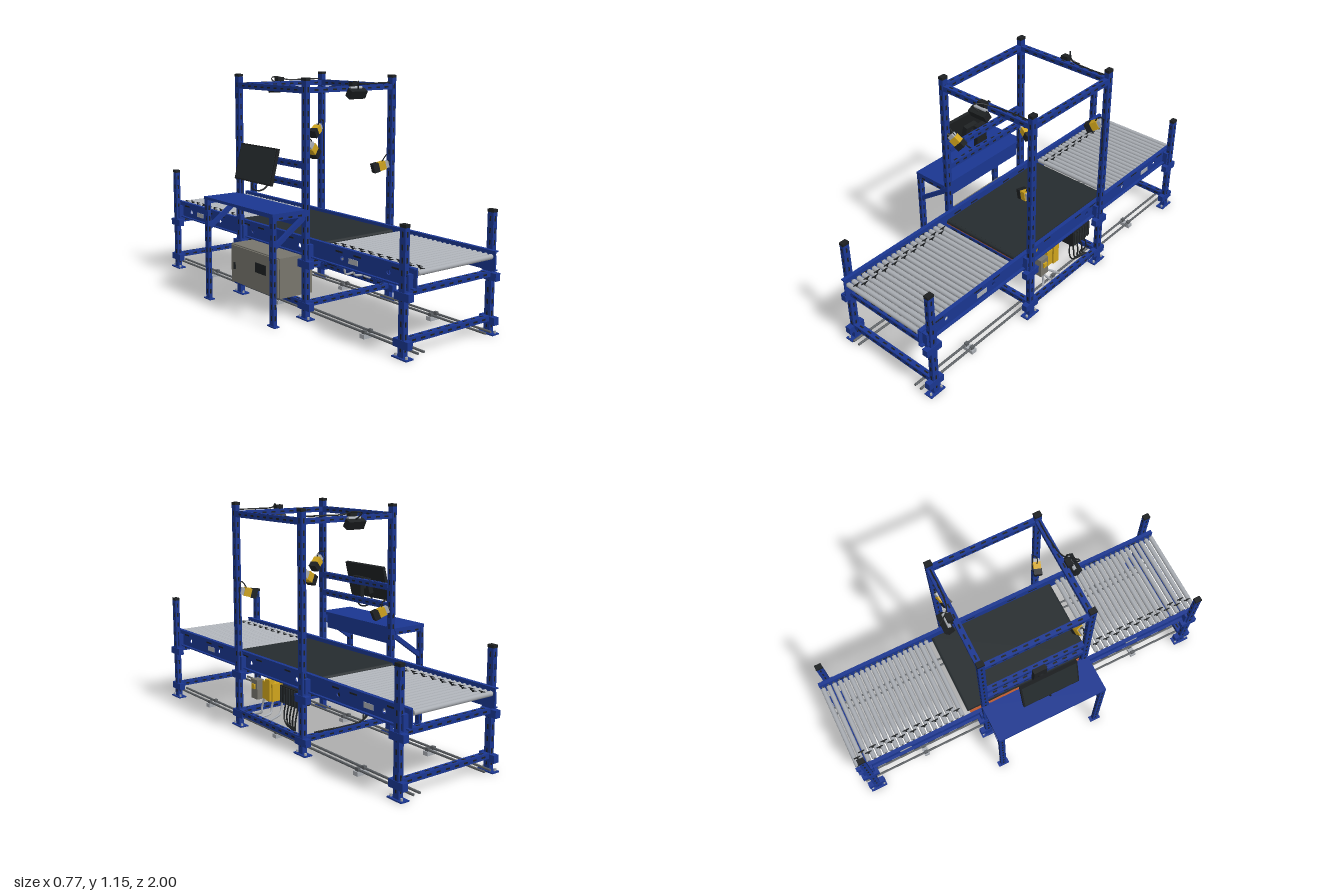
import * as THREE from 'three';

const mat = (color, side = THREE.FrontSide) => new THREE.MeshStandardMaterial({ color, side });
const BLUE = mat(0x1a3690), BLACK = mat(0x1d2022), BELT = mat(0x252b2e), STEEL = mat(0xa9adb3),
  YELLOW = mat(0xd0a41c), CABINET = mat(0x77756c), ORANGE = mat(0xb8562a), ROD = mat(0x5c6064);

const XL = -0.175, XR = 0.367, XC = (XL + XR) / 2, SPAN = XR - XL; // post lines
const ZT = 0.28, ZE = 0.95;                                        // tower and end post lines

function add(parent, name, geo, material, x = 0, y = 0, z = 0) {
  const m = new THREE.Mesh(geo, material);
  m.name = name;
  m.position.set(x, y, z);
  parent.add(m);
  return m;
}
const box = (p, name, material, w, h, d, x, y, z) =>
  add(p, name, new THREE.BoxGeometry(w, h, d), material, x, y, z);

function rod(p, name, material, a, b, r, sides = 10) {
  const va = new THREE.Vector3(...a), vb = new THREE.Vector3(...b), d = vb.clone().sub(va);
  const m = add(p, name, new THREE.CylinderGeometry(r, r, d.length(), sides), material);
  m.position.copy(va).add(vb).multiplyScalar(0.5);
  m.quaternion.setFromUnitVectors(new THREE.Vector3(0, 1, 0), d.normalize());
  return m;
}
function cable(p, name, points, r = 0.004, material = BLACK) {
  const c = new THREE.CatmullRomCurve3(points.map(q => new THREE.Vector3(...q)));
  return add(p, name, new THREE.TubeGeometry(c, 24, r, 6), material);
}

// Slotted square beam along axis 'x', 'y' or 'z', centred at (x, y, z)
function beam(p, name, axis, length, x, y, z, w = 0.026, t = 0.03) {
  const g = new THREE.Group();
  g.name = name;
  g.position.set(x, y, z);
  if (axis === 'x') g.rotation.z = Math.PI / 2;
  if (axis === 'z') g.rotation.x = Math.PI / 2;
  p.add(g);
  box(g, 'tube', BLUE, w, length, t, 0, 0, 0);
  const n = Math.floor(length / 0.055);
  const geo = [new THREE.BoxGeometry(0.008, 0.024, t + 0.001), new THREE.BoxGeometry(w + 0.001, 0.024, 0.008)];
  for (const s of geo) {
    const slots = new THREE.InstancedMesh(s, BLACK, n);
    slots.name = 'slots';
    for (let i = 0; i < n; i++)
      slots.setMatrixAt(i, new THREE.Matrix4().makeTranslation(0, (i - (n - 1) / 2) * 0.055, 0));
    g.add(slots);
  }
  return g;
}

function post(p, name, height, x, z) {
  beam(p, name, 'y', height - 0.01, x, height / 2, z, 0.025, 0.034);
  box(p, 'postCap', BLACK, 0.027, 0.014, 0.036, x, height - 0.007, z);
  const out = x > XC ? 1 : -1;
  box(p, 'footPlate', BLUE, 0.045, 0.006, 0.09, x, 0.003, z);
  for (const dz of [-0.033, 0.033])
    add(p, 'footBolt', new THREE.CylinderGeometry(0.006, 0.006, 0.012, 6), STEEL, x + out * 0.008, 0.011, z + dz);
}

// Conveyor side channel with holes in the web
function sideRail(p, x, out) {
  const s = new THREE.Shape([[-1, 0.305], [1, 0.305], [1, 0.398], [-1, 0.398]].map(q => new THREE.Vector2(...q)));
  for (const z of [-0.83, -0.52, -0.2, 0.2, 0.52, 0.83]) {
    const h = new THREE.Path();
    h.absarc(z, 0.345, 0.012, 0, Math.PI * 2, true);
    s.holes.push(h);
  }
  const geo = new THREE.ExtrudeGeometry(s, { depth: 0.006, bevelEnabled: false, curveSegments: 8 });
  geo.rotateY(-Math.PI / 2);
  add(p, 'sideRailWeb', geo, BLUE, x + 0.003);
  for (const y of [0.308, 0.395]) box(p, 'sideRailFlange', BLUE, 0.02, 0.006, 2, x + out * 0.007, y, 0);
  for (const z of [-0.73, 0.6]) box(p, 'railPlate', STEEL, 0.003, 0.025, 0.065, x + out * 0.004, 0.342, z);
  for (let i = -7; i <= 7; i++) if (i % 3)
    box(p, 'railSlot', BLACK, 0.008, 0.008, 0.05, x, 0.372, i * 0.125);
}

// Barcode sensor on a post arm, aimed along the given direction
function sensor(p, x, y, z, dir, from) {
  const g = new THREE.Group();
  g.name = 'scanner';
  g.position.set(x, y, z);
  g.lookAt(x + dir[0], y + dir[1], z + dir[2]);
  p.add(g);
  box(g, 'scannerBody', YELLOW, 0.038, 0.042, 0.04, 0, 0, 0);
  box(g, 'scannerHead', BLACK, 0.042, 0.046, 0.03, 0, 0, 0.032);
  box(g, 'scannerBack', STEEL, 0.03, 0.034, 0.02, 0, 0, -0.028);
  rod(p, 'scannerArm', BLACK, from, [x, y, z], 0.009);
  const s = Math.sign(x - from[0]);
  cable(p, 'scannerCable', [[x, y + 0.015, z], [x - s * 0.02, y + 0.05, z + 0.01], [from[0] + s * 0.01, y + 0.055, z],
    [from[0], y - 0.02, z], [from[0], y - 0.15, z]], 0.003);
}

export function createModel() {
  const root = new THREE.Group();
  root.name = 'scanTunnelConveyor';
  const part = name => {
    const g = new THREE.Group();
    g.name = name;
    root.add(g);
    return g;
  };

  // Posts, cross beams and gussets
  const frame = part('frame');
  for (const z of [-ZE, -ZT, ZT, ZE]) {
    for (const x of [XL, XR]) {
      post(frame, Math.abs(z) > 0.5 ? 'endPost' : 'towerPost', Math.abs(z) > 0.5 ? 0.58 : 1.155, x, z);
      for (const y of [0.272, 0.065]) box(frame, 'gusset', BLUE, 0.03, 0.036, 0.09, x, y, z);
      box(frame, 'railBracket', BLUE, 0.03, 0.07, 0.06, x + (x < XC ? 0.012 : -0.012), 0.335, z);
    }
    for (const y of [0.285, 0.075]) beam(frame, 'crossBeam', 'x', SPAN - 0.025, XC, y, z);
  }
  for (const z of [-ZT, ZT]) beam(frame, 'topBeam', 'x', SPAN - 0.025, XC, 1.097, z);
  for (const x of [XL, XR]) {
    beam(frame, 'topSideBeam', 'z', 2 * ZT - 0.034, x, 1.097, 0);
    beam(frame, 'lowSideBeam', 'z', 2 * ZT - 0.034, x, 0.075, 0);
  }
  for (const y of [0.65, 0.745]) beam(frame, 'monitorBeam', 'z', 2 * ZT - 0.034, XL, y, 0);

  // Conveyor: rails, rollers, drive bands, belt bed
  const conveyor = part('conveyor');
  sideRail(conveyor, -0.148, -1);
  sideRail(conveyor, 0.34, 1);
  const rollerGeo = new THREE.CylinderGeometry(0.0125, 0.0125, 0.46, 14).rotateZ(Math.PI / 2);
  const axleGeo = new THREE.CylinderGeometry(0.005, 0.005, 0.488, 6).rotateZ(Math.PI / 2);
  for (const s of [-1, 1]) for (let i = 0; i < 20; i++) {
    const z = s * (0.395 + i * 0.0311);
    add(conveyor, 'roller', rollerGeo, STEEL, 0.096, 0.373, z);
    add(conveyor, 'axle', axleGeo, ROD, 0.096, 0.373, z);
    if (i < 19) box(conveyor, 'driveBand', BLACK, 0.006, 0.027, 0.036, i % 2 ? -0.075 : -0.095, 0.373, z + s * 0.0155);
  }
  box(conveyor, 'belt', BELT, 0.445, 0.024, 0.69, 0.101, 0.374, -0.005);
  for (const z of [-0.35, 0.34])
    add(conveyor, 'beltEnd', new THREE.CylinderGeometry(0.012, 0.012, 0.445, 14).rotateZ(Math.PI / 2), BELT, 0.101, 0.374, z);
  box(conveyor, 'beltPan', ORANGE, 0.46, 0.008, 0.69, 0.096, 0.356, -0.005);

  // Floor guide rods with clamps
  const guides = part('floorGuides');
  for (const x of [-0.115, 0.308]) {
    for (const dx of [-0.018, 0.018]) rod(guides, 'guideRod', ROD, [x + dx, 0.026, -1], [x + dx, 0.026, 1], 0.006, 8);
    for (const z of [-0.64, 0, 0.66]) {
      box(guides, 'clampBase', STEEL, 0.066, 0.02, 0.03, x, 0.01, z);
      for (const dx of [-0.018, 0.018]) box(guides, 'clamp', ROD, 0.016, 0.016, 0.02, x + dx, 0.028, z);
    }
  }

  // Side table
  const table = part('sideTable');
  box(table, 'tableTop', BLUE, 0.2, 0.014, 0.6, -0.282, 0.533, 0);
  box(table, 'tableApron', BLUE, 0.006, 0.085, 0.52, -0.192, 0.496, 0);
  for (const z of [-0.285, 0.285]) {
    beam(table, 'tableLeg', 'y', 0.526, -0.37, 0.263, z, 0.02, 0.03);
    box(table, 'tableFoot', BLUE, 0.03, 0.006, 0.06, -0.37, 0.003, z);
    beam(table, 'tableBearer', 'x', 0.18, -0.278, 0.516, z, 0.02, 0.028);
    const brace = box(table, 'tableBrace', BLUE, 0.215, 0.022, 0.02, -0.275, 0.442, z);
    brace.rotation.z = Math.atan2(0.12, 0.17);
  }

  // Tilted monitor on its arm
  const monitor = part('monitor');
  const screen = new THREE.Group();
  screen.name = 'screen';
  screen.position.set(-0.278, 0.733, 0.025);
  screen.rotation.z = -0.24;
  monitor.add(screen);
  box(screen, 'screenCase', BLACK, 0.016, 0.18, 0.305, 0, 0, 0);
  box(screen, 'screenGlass', BELT, 0.002, 0.165, 0.29, -0.009, 0, 0);
  box(screen, 'screenMount', BLACK, 0.03, 0.08, 0.08, 0.02, -0.02, 0);
  rod(monitor, 'monitorArm', BLACK, [-0.265, 0.705, 0.025], [-0.2, 0.7, 0.01], 0.018);
  box(monitor, 'armBracket', BLACK, 0.026, 0.13, 0.07, -0.2, 0.7, 0.01);
  cable(monitor, 'monitorCable', [[-0.29, 0.66, 0.02], [-0.305, 0.62, 0.02], [-0.26, 0.6, 0.02], [-0.21, 0.615, 0.01], [-0.19, 0.66, 0.01]]);

  // Control cabinet
  const cabinet = part('controlCabinet');
  box(cabinet, 'cabinetBody', CABINET, 0.195, 0.2, 0.42, -0.172, 0.195, -0.01);
  box(cabinet, 'cabinetDoor', CABINET, 0.008, 0.19, 0.405, -0.273, 0.195, -0.01);
  box(cabinet, 'doorPanel', BLACK, 0.004, 0.05, 0.09, -0.278, 0.215, 0.05);
  box(cabinet, 'doorHandle', BLACK, 0.008, 0.035, 0.012, -0.28, 0.185, -0.18);
  box(cabinet, 'cabinetBack', BLACK, 0.004, 0.19, 0.4, -0.074, 0.195, -0.01);

  // Drive and power boxes with conduits
  const power = part('powerBoxes');
  box(power, 'driveBox', YELLOW, 0.11, 0.09, 0.09, 0.28, 0.225, 0.065);
  box(power, 'driveFace', YELLOW, 0.03, 0.11, 0.04, 0.33, 0.235, 0.05);
  box(power, 'driveBackPlate', STEEL, 0.022, 0.085, 0.1, 0.212, 0.222, 0.065);
  box(power, 'switchBox', CABINET, 0.04, 0.1, 0.055, 0.335, 0.22, 0.155);
  box(power, 'switchKnob', YELLOW, 0.01, 0.025, 0.025, 0.358, 0.235, 0.155);
  box(power, 'supplyBox', BLACK, 0.08, 0.085, 0.14, 0.315, 0.25, -0.145);
  for (let i = 0; i < 6; i++) box(power, 'supplyFin', BELT, 0.006, 0.08, 0.01, 0.357, 0.25, -0.2 + i * 0.022);
  for (let i = 0; i < 3; i++)
    cable(power, 'conduit', [[0.25 + i * 0.035, 0.19, 0.05 + i * 0.03], [0.255 + i * 0.035, 0.13, 0.06 + i * 0.035],
      [0.27 + i * 0.03, 0.1, 0.05 + i * 0.04], [0.35, 0.088, 0.02 + i * 0.07]], 0.006, STEEL);
  for (let i = 0; i < 5; i++)
    cable(power, 'powerCable', [[0.325, 0.22, -0.09 - i * 0.025], [0.335 + i * 0.004, 0.14, -0.08 - i * 0.03],
      [0.34, 0.105, -0.1 - i * 0.02], [0.355, 0.09, -0.2]]);
  for (let i = 0; i < 3; i++)
    cable(power, 'cabinetCable', [[-0.15, 0.29, -0.225 - i * 0.008], [-0.13, 0.2, -0.235 - i * 0.008],
      [-0.07 + i * 0.02, 0.125, -0.25], [0, 0.095, -0.275], [0.3, 0.093, -0.275]]);

  // Side scanners, one per tower post
  const scanners = part('scanners');
  sensor(scanners, -0.122, 0.818, 0.262, [0.7, -0.7, -0.25], [XL, 0.845, ZT]);
  sensor(scanners, -0.125, 0.624, -0.262, [0.9, -0.4, 0.3], [XL, 0.645, -ZT]);
  sensor(scanners, 0.318, 0.84, -0.262, [-0.8, -0.5, 0.3], [XR, 0.858, -ZT]);
  sensor(scanners, 0.318, 0.7, 0.262, [-0.9, -0.25, -0.3], [XR, 0.715, ZT]);

  // Overhead scanners outside the top beams
  for (const s of [-1, 1]) {
    const g = part('overheadScanner');
    const body = box(g, 'overheadBody', BLACK, 0.098, 0.042, 0.035, 0.096, 1.075, s * 0.325);
    body.rotation.x = s * 0.5;
    box(g, 'overheadBracket', BLACK, 0.04, 0.05, 0.03, 0.096, 1.105, s * 0.303);
    rod(g, 'overheadPivot', STEEL, [0.06, 1.1, s * 0.318], [0.132, 1.1, s * 0.318], 0.009);
    cable(g, 'overheadCable', [[0.1, 1.09, s * 0.33], [0.08, 1.125, s * 0.355], [0.1, 1.132, s * 0.33],
      [0.14, 1.118, s * 0.295], [0.24, 1.117, s * 0.28], [0.35, 1.118, s * 0.28]], 0.0035);
  }
  return root;
}
